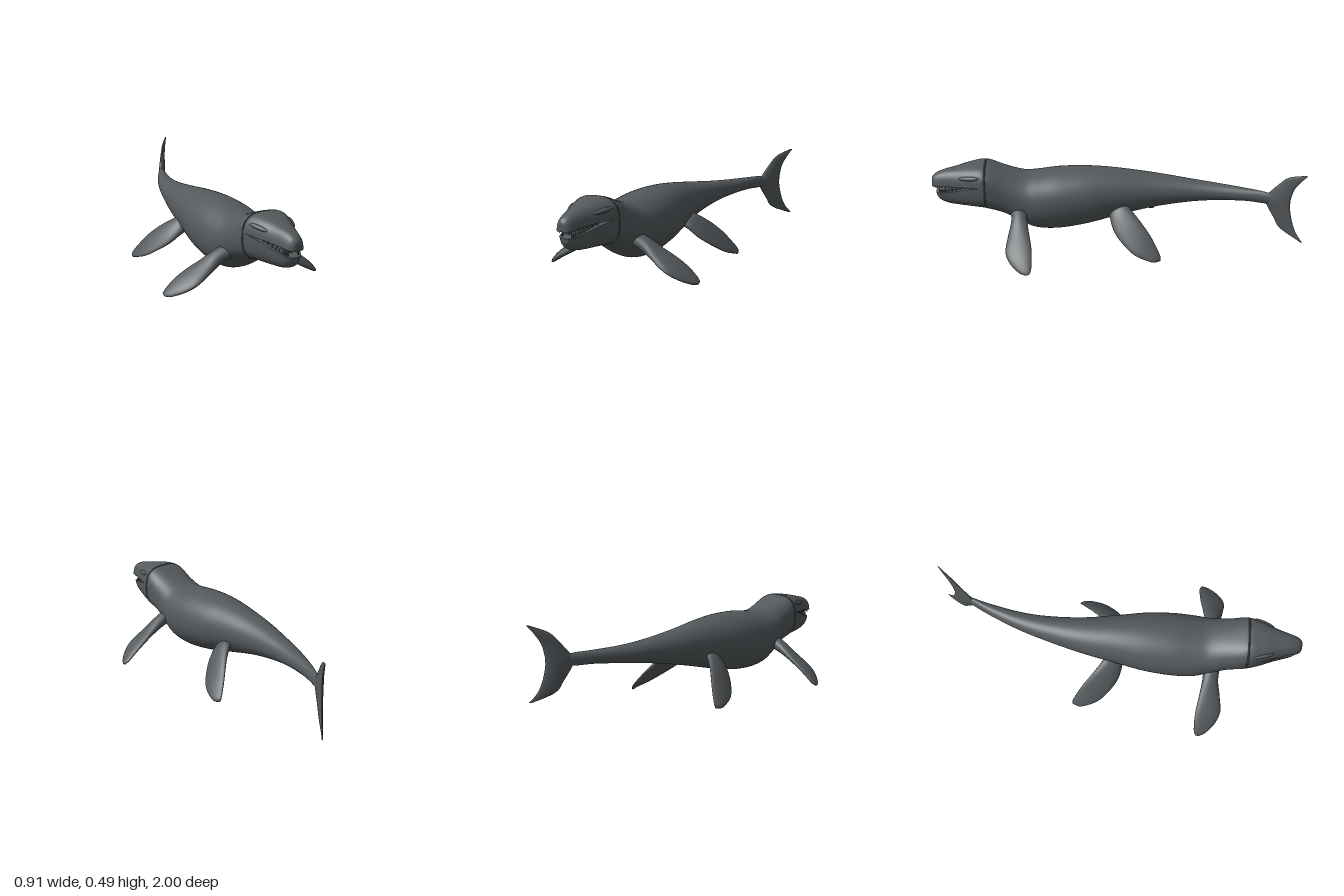
import * as THREE from 'three';

const V = (x, y, z) => new THREE.Vector3(x, y, z);
const spline = (pts) => new THREE.CatmullRomCurve3(pts, false, 'catmullrom', 0.5);

// Body sections from tail to snout: z, centre x, top, bottom, half width, squareness
const SECTIONS = [
  [-0.87, 0.185, 0.33, 0.285, 0.010, 2],
  [-0.80, 0.150, 0.343, 0.275, 0.020, 2],
  [-0.70, 0.110, 0.346, 0.273, 0.033, 2],
  [-0.55, 0.062, 0.352, 0.257, 0.050, 2],
  [-0.40, 0.030, 0.365, 0.235, 0.068, 2],
  [-0.20, 0.005, 0.390, 0.195, 0.098, 2],
  [0.00, 0, 0.415, 0.145, 0.133, 2],
  [0.15, 0, 0.424, 0.108, 0.160, 2.05],
  [0.30, 0, 0.420, 0.085, 0.171, 2.1],
  [0.42, 0, 0.406, 0.088, 0.167, 2.1],
  [0.50, 0, 0.403, 0.120, 0.153, 2.2],
  [0.60, 0, 0.430, 0.180, 0.138, 2.4],
  [0.70, 0, 0.464, 0.217, 0.133, 2.8],
  [0.78, 0, 0.458, 0.224, 0.112, 2.8],
  [0.86, 0, 0.440, 0.225, 0.082, 2.6],
  [0.93, 0, 0.424, 0.232, 0.060, 2.5],
  [0.975, 0, 0.406, 0.250, 0.046, 2.4],
  [0.995, 0, 0.388, 0.272, 0.030, 2.2],
  [1.00, 0, 0.372, 0.290, 0.016, 2],
];
const LAST = SECTIONS.length - 1;
const HEAD = 12; // section where the mouth begins
const curveA = spline(SECTIONS.map((s) => V(s[0], s[1], s[2])));
const curveB = spline(SECTIONS.map((s) => V(s[3], s[4], s[5])));

function sectionAt(i) {
  const a = curveA.getPoint(i / LAST), b = curveB.getPoint(i / LAST);
  return { z: a.x, cx: a.y, top: a.z, bottom: b.x, hw: b.y, e: b.z };
}

function ringAt(i, sides = 56, widthScale = 1) {
  const s = sectionAt(i), ring = [];
  const mid = (s.top + s.bottom) / 2, hh = (s.top - s.bottom) / 2;
  const pow = (v) => Math.sign(v) * Math.pow(Math.abs(v), 2 / s.e);
  for (let k = 0; k < sides; k++) {
    const a = (k / sides) * Math.PI * 2;
    ring.push(V(s.cx + pow(Math.cos(a)) * s.hw * widthScale, mid + pow(Math.sin(a)) * hh, s.z));
  }
  return ring;
}

// Closed skin over a row of rings, always facing outwards
function loft(rings) {
  const n = rings[0].length, pos = [], idx = [];
  const push = (p) => pos.push(p.x, p.y, p.z);
  rings.forEach((r) => r.forEach(push));
  for (let i = 0; i < rings.length - 1; i++) {
    for (let k = 0; k < n; k++) {
      const a = i * n + k, b = i * n + ((k + 1) % n);
      idx.push(a, b, a + n, b, b + n, a + n);
    }
  }
  [0, rings.length - 1].forEach((i) => {
    const c = pos.length / 3;
    push(rings[i].reduce((s, p) => s.add(p), V(0, 0, 0)).divideScalar(n));
    for (let k = 0; k < n; k++) {
      const a = i * n + k, b = i * n + ((k + 1) % n);
      if (i === 0) idx.push(c, b, a);
      else idx.push(c, a, b);
    }
  });
  const at = (i) => V(pos[3 * i], pos[3 * i + 1], pos[3 * i + 2]);
  let volume = 0;
  for (let i = 0; i < idx.length; i += 3) volume += at(idx[i]).dot(at(idx[i + 1]).cross(at(idx[i + 2])));
  if (volume < 0) idx.reverse();
  const g = new THREE.BufferGeometry();
  g.setAttribute('position', new THREE.Float32BufferAttribute(pos, 3));
  g.setIndex(idx);
  g.computeVertexNormals();
  return g;
}

// Foil lofted from sections of leading point, trailing point and half thickness
function foil(sections, bend = (p) => p, sides = 24, steps = 32) {
  const lead = spline(sections.map((s) => V(...s[0])));
  const trail = spline(sections.map((s) => V(...s[1])));
  const thick = spline(sections.map((s, i) => V(s[2], i, 0)));
  const rings = [];
  for (let i = 0; i <= steps; i++) {
    const t = i / steps, a = lead.getPoint(t), b = trail.getPoint(t), h = thick.getPoint(t).x;
    const span = lead.getTangent(t).add(trail.getTangent(t));
    const normal = b.clone().sub(a).cross(span).normalize();
    const ring = [];
    for (let k = 0; k < sides; k++) {
      const ang = (k / sides) * Math.PI * 2;
      const p = a.clone().lerp(b, (1 - Math.cos(ang)) / 2).addScaledVector(normal, Math.sin(ang) * h);
      p.y = Math.max(p.y, 0);
      ring.push(bend(p));
    }
    rings.push(ring);
  }
  return loft(rings);
}

const FRONT_FLIPPER = [
  [[0.10, 0.215, 0.57], [0.10, 0.240, 0.48], 0.036],
  [[0.17, 0.185, 0.565], [0.17, 0.212, 0.48], 0.033],
  [[0.24, 0.140, 0.58], [0.24, 0.175, 0.47], 0.026],
  [[0.32, 0.090, 0.592], [0.32, 0.130, 0.455], 0.021],
  [[0.38, 0.055, 0.568], [0.38, 0.090, 0.45], 0.017],
  [[0.43, 0.027, 0.52], [0.43, 0.047, 0.452], 0.011],
  [[0.45, 0.020, 0.485], [0.45, 0.028, 0.462], 0.004],
];
const REAR_FLIPPER = [
  [[0.08, 0.20, 0.03], [0.08, 0.255, -0.06], 0.030],
  [[0.13, 0.18, 0.03], [0.12, 0.237, -0.078], 0.028],
  [[0.19, 0.13, 0.01], [0.175, 0.195, -0.125], 0.023],
  [[0.25, 0.08, -0.04], [0.225, 0.140, -0.175], 0.018],
  [[0.295, 0.04, -0.10], [0.26, 0.090, -0.208], 0.014],
  [[0.32, 0.015, -0.18], [0.295, 0.036, -0.236], 0.008],
  [[0.315, 0.008, -0.21], [0.305, 0.013, -0.236], 0.003],
];
// Fluke rows from upper to lower tip: y, leading z, trailing z, half thickness
const FLUKE = [
  [0.493, -0.988, -1.0, 0.003], [0.455, -0.912, -0.975, 0.009],
  [0.40, -0.866, -0.946, 0.013], [0.345, -0.825, -0.933, 0.018],
  [0.31, -0.80, -0.93, 0.020], [0.27, -0.815, -0.932, 0.018],
  [0.20, -0.855, -0.946, 0.013], [0.145, -0.890, -0.967, 0.009],
  [0.097, -0.988, -1.0, 0.003],
];

export function createModel() {
  const model = new THREE.Group();
  const skin = new THREE.MeshStandardMaterial({ color: 0x54595c });
  skin.name = 'slate grey skin';
  const add = (name, geometry, parent = model) => {
    const m = new THREE.Mesh(geometry, skin);
    m.name = name;
    parent.add(m);
    return m;
  };
  const rings = (from, to, steps, make) =>
    Array.from({ length: steps + 1 }, (_, i) => make(from + ((to - from) * i) / steps));

  // Torso and tail stock
  add('body', loft(rings(0, HEAD + 0.1, 90, (i) => ringAt(i))));

  // Head split along a rising mouth line
  const lip = (z) => 0.32 + 0.18 * (1 - z);
  const gap = (z) => 0.018 * THREE.MathUtils.smoothstep(z, 0.7, 0.97);
  const jawBack = (z) => z - 0.02 * THREE.MathUtils.smoothstep(z, 0.7, 1);
  add('skull', loft(rings(HEAD, LAST, 48, (i) => ringAt(i).map((p) =>
    V(p.x, Math.max(p.y, lip(p.z) + gap(p.z)), p.z)))));
  add('lowerJaw', loft(rings(HEAD, LAST, 48, (i) => ringAt(i).map((p) =>
    V(p.x, Math.min(p.y, lip(p.z) - gap(p.z)), jawBack(p.z))))));
  add('mouthInterior', loft(rings(HEAD, 15, 16, (i) => ringAt(i, 32, 0.7).map((p) =>
    V(p.x, THREE.MathUtils.clamp(p.y, lip(p.z) - 0.03, lip(p.z) + 0.03), p.z)))));

  // Brow ridges, teeth and flippers on both sides
  const teeth = new THREE.Group();
  teeth.name = 'teeth';
  model.add(teeth);
  for (const side of [1, -1]) {
    const label = side > 0 ? 'left' : 'right';
    const brow = add(label + 'BrowRidge', new THREE.SphereGeometry(1, 24, 16));
    brow.scale.set(0.014, 0.012, 0.06);
    brow.position.set(side * 0.092, 0.412, 0.79);
    brow.rotation.set(0.15, side * -0.34, 0);

    for (let k = 0; k < 9; k++) {
      const s = sectionAt(13.6 + k * 0.38);
      for (const up of [1, -1]) {
        const tooth = add(up > 0 ? 'upperTooth' : 'lowerTooth', new THREE.ConeGeometry(0.006, 0.028, 8), teeth);
        const z = s.z - 0.012;
        tooth.position.set(side * s.hw * 0.8, lip(z) + up * (gap(z) - 0.006), up > 0 ? z : jawBack(z));
        if (up > 0) tooth.rotation.x = Math.PI;
      }
    }

    const mirror = (rows) => rows.map(([a, b, h]) => [[a[0] * side, a[1], a[2]], [b[0] * side, b[1], b[2]], h]);
    add(label + 'FrontFlipper', foil(mirror(FRONT_FLIPPER)));
    add(label + 'RearFlipper', foil(mirror(REAR_FLIPPER)));
  }

  // Upright tail fluke swept to the left with the tail
  const sweep = (p) => {
    const s = -0.8 - p.z;
    return V(p.x + 0.15 + 0.45 * s + 0.95 * s * s, p.y, p.z);
  };
  add('tailFluke', foil(FLUKE.map(([y, a, b, h]) => [[0, y, a], [0, y, b], h]), sweep, 28, 48));

  return model;
}
